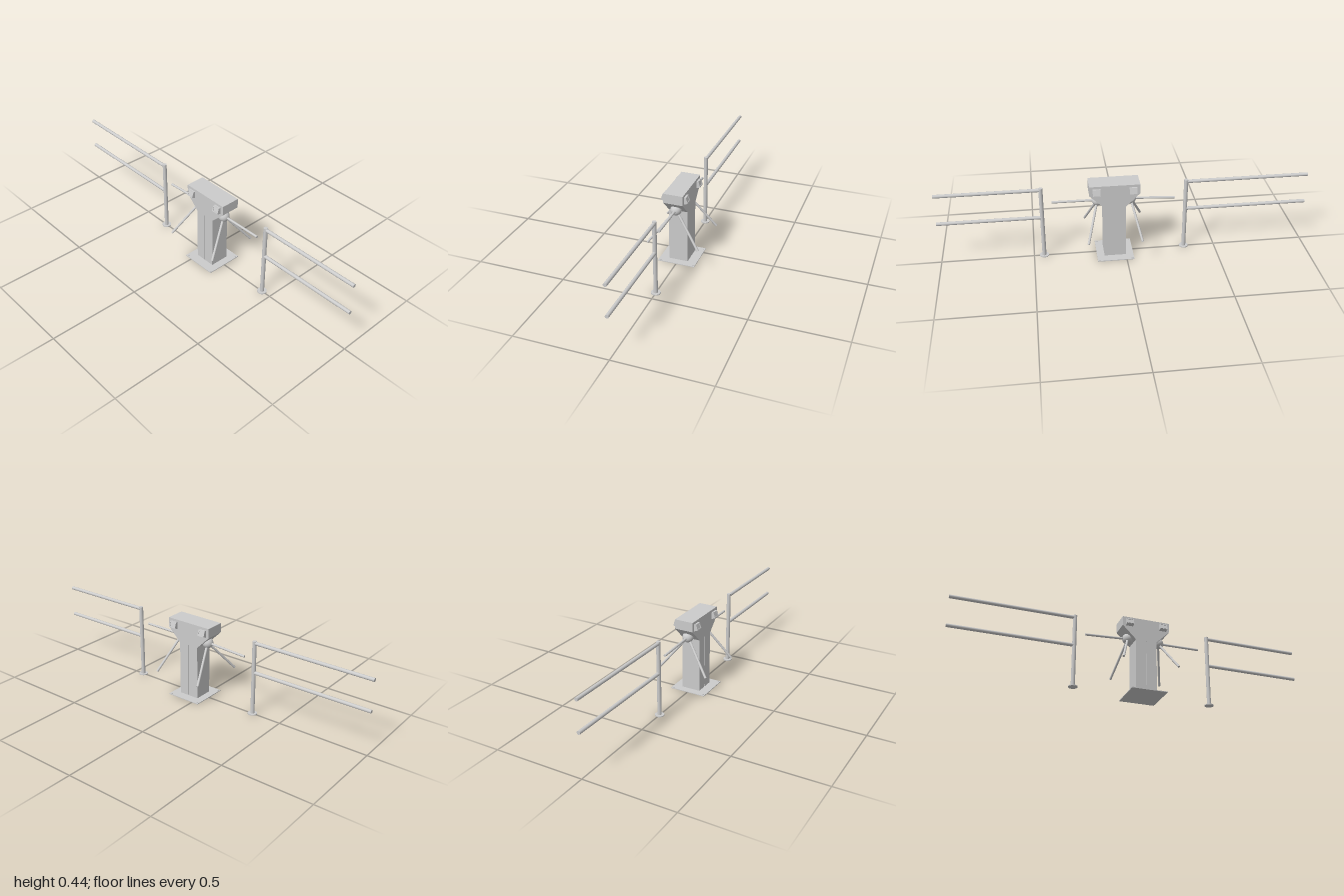
import * as THREE from 'three';

const mat = new THREE.MeshStandardMaterial({ color: 0xcccccc, side: THREE.DoubleSide });
const UP = new THREE.Vector3(0, 1, 0);
const CX = 0.059; // centre line of the turnstile
const v = (x, y, z) => new THREE.Vector3(x, y, z);

function add(parent, name, geometry, x = 0, y = 0, z = 0) {
  const mesh = new THREE.Mesh(geometry, mat);
  mesh.name = name;
  mesh.position.set(x, y, z);
  parent.add(mesh);
  return mesh;
}

// Round bar between two points
function bar(parent, name, a, b, r, sides = 20) {
  const dir = b.clone().sub(a);
  const mesh = add(parent, name, new THREE.CylinderGeometry(r, r, dir.length(), sides));
  mesh.position.copy(a).add(b).multiplyScalar(0.5);
  mesh.quaternion.setFromUnitVectors(UP, dir.normalize());
  return mesh;
}

function extrude(points, depth, holes = []) {
  const shape = new THREE.Shape(points.map(p => new THREE.Vector2(...p)));
  for (const h of holes) shape.holes.push(new THREE.Path(h.map(p => new THREE.Vector2(...p))));
  return new THREE.ExtrudeGeometry(shape, { depth, bevelEnabled: false });
}

const rect = (w, h) => [[-w, -h], [w, -h], [w, h], [-w, h]];

// Angled reader on the front of the head: wedge body with a raised rim
function reader() {
  const g = new THREE.Group();
  g.name = 'reader';
  // side profile in (z, y), extruded across x
  const body = extrude([[0, 0.382], [0.0185, 0.389], [0.0085, 0.421], [0, 0.421]], 0.041);
  const wedge = add(g, 'readerBody', body, 0.0205, 0, 0);
  wedge.rotation.y = -Math.PI / 2;
  const rim = add(g, 'readerRim', extrude(rect(0.0205, 0.0165), 0.003, [rect(0.015, 0.011)]), 0, 0.405, 0.0132);
  rim.rotation.x = -Math.atan2(0.01, 0.032);
  return g;
}

// Three-armed rotor on one slanted shoulder
function rotor(side, tips) {
  const g = new THREE.Group();
  g.name = side > 0 ? 'leftRotor' : 'rightRotor';
  const hub = v(CX + side * 0.089, 0.328, 0);
  const axis = v(side, -1, 0).normalize();
  const collar = hub.clone().addScaledVector(axis, -0.008);
  bar(g, 'hubCollar', collar, hub, 0.03, 32);
  const dome = add(g, 'hubDome', new THREE.SphereGeometry(0.03, 32, 12, 0, Math.PI * 2, 0, Math.PI / 2));
  dome.position.copy(hub);
  dome.quaternion.setFromUnitVectors(UP, axis);
  for (const tip of tips) bar(g, 'arm', hub, v(...tip), 0.0065);
  return g;
}

// Post with two rails running outwards to |x| = 1
function barrier(side) {
  const g = new THREE.Group();
  g.name = side > 0 ? 'leftBarrier' : 'rightBarrier';
  const x = side > 0 ? 0.445 : -0.33;
  add(g, 'flange', new THREE.CylinderGeometry(0.025, 0.025, 0.005, 32), x, 0.0025, 0);
  bar(g, 'post', v(x, 0, 0), v(x, 0.418, 0), 0.011, 24);
  for (const y of [0.241, 0.407]) bar(g, 'rail', v(x, y, 0), v(side, y, 0), 0.0095, 24);
  return g;
}

export function createModel() {
  const model = new THREE.Group();
  model.name = 'turnstile';

  // Base plate with corner bolts
  add(model, 'basePlate', new THREE.BoxGeometry(0.2, 0.004, 0.206), CX, 0.002, 0);
  for (const sx of [-1, 1]) for (const sz of [-1, 1])
    add(model, 'bolt', new THREE.CylinderGeometry(0.005, 0.005, 0.003, 12), CX + sx * 0.09, 0.0055, sz * 0.093);

  // Column with a narrow centre groove front and back
  const w = 0.059, d = 0.053, s = 0.002, n = 0.004;
  const column = add(model, 'column', extrude([
    [-w, -d], [-s, -d], [-s, n - d], [s, n - d], [s, -d], [w, -d],
    [w, d], [s, d], [s, d - n], [-s, d - n], [-s, d], [-w, d],
  ], 0.306), CX, 0.004, 0);
  column.rotation.x = -Math.PI / 2;

  // Head flaring out from the column
  add(model, 'head', extrude([
    [-w, 0.307], [w, 0.307], [0.135, 0.382], [0.135, 0.435], [-0.135, 0.435], [-0.135, 0.382],
  ], 2 * d), CX, 0, -d);

  // Readers on both faces
  for (const dir of [1, -1]) for (const sx of [-1, 1]) {
    const r = reader();
    r.position.set(CX + sx * 0.097, 0, dir * d);
    if (dir < 0) r.rotation.y = Math.PI;
    model.add(r);
  }

  model.add(rotor(1, [[0.39, 0.33, 0], [0.21, 0.14, 0.139], [0.21, 0.14, -0.142]]));
  model.add(rotor(-1, [[-0.27, 0.315, 0], [-0.103, 0.149, 0.147], [-0.078, 0.14, -0.149]]));
  model.add(barrier(1), barrier(-1));
  return model;
}
